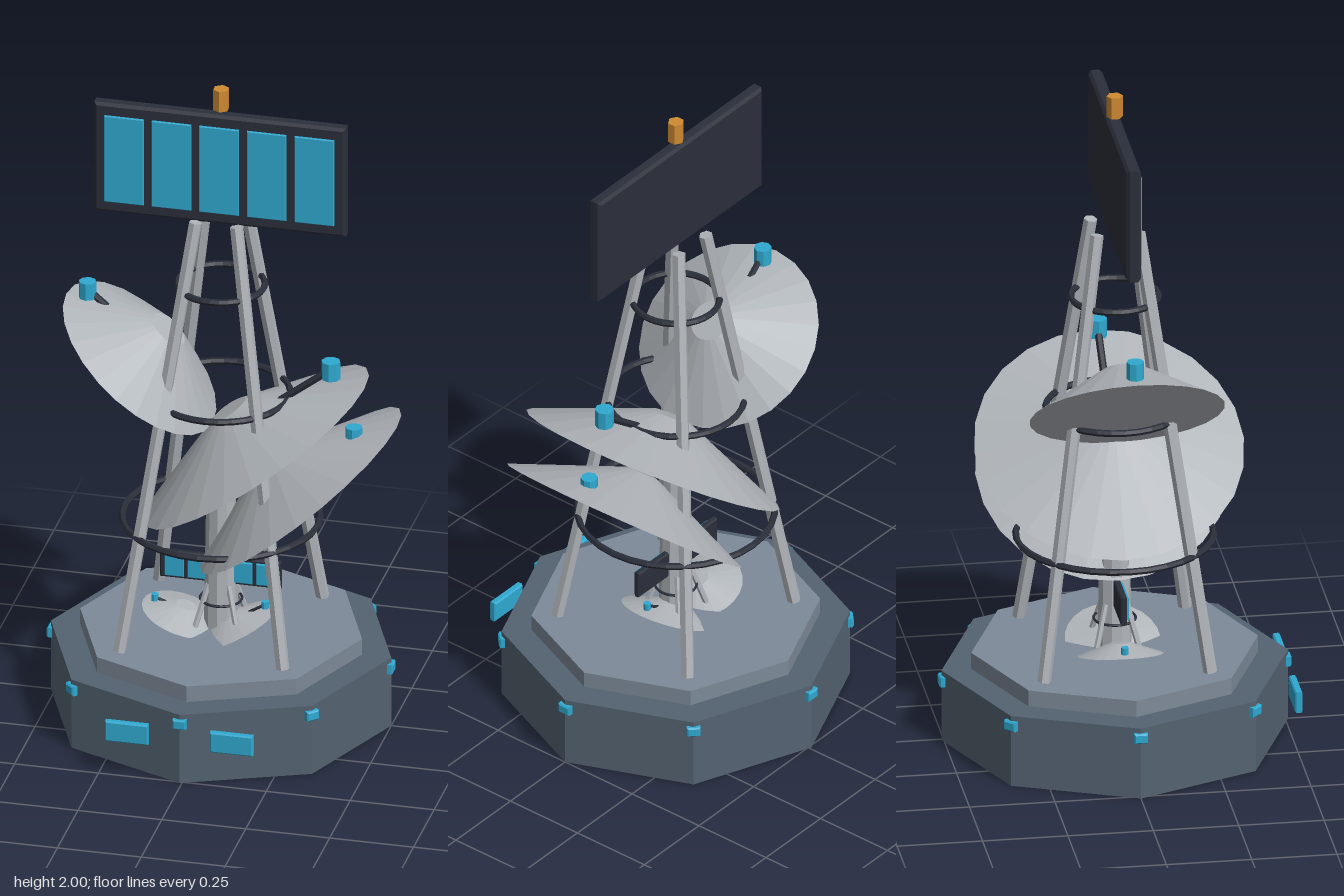
import * as THREE from 'three';

const AXIS = -0.007; // x of the tower axis

function material(name, color) {
  const m = new THREE.MeshStandardMaterial({ color, flatShading: true });
  m.name = name;
  return m;
}

export function createModel() {
  const root = new THREE.Group();
  root.name = 'relayTower';
  const slate = material('slate', 0x546372);
  const paleSlate = material('paleSlate', 0x7d8a99);
  const steel = material('steel', 0xb0b5ba);
  const dark = material('darkFrame', 0x2b2f3a);
  const cyan = material('cyan', 0x2fa9d0);
  const orange = material('orange', 0xcf8a32);

  const add = (name, geometry, mat, x = 0, y = 0, z = 0, parent = root) => {
    const mesh = new THREE.Mesh(geometry, mat);
    mesh.name = name;
    mesh.position.set(x, y, z);
    parent.add(mesh);
    return mesh;
  };

  // Straight rod between two points
  const rod = (name, a, b, radius, sides, mat) => {
    const from = new THREE.Vector3(...a), to = new THREE.Vector3(...b);
    const dir = to.clone().sub(from);
    const mesh = add(name, new THREE.CylinderGeometry(radius, radius, dir.length(), sides), mat);
    mesh.position.copy(from).add(to).multiplyScalar(0.5);
    mesh.quaternion.setFromUnitVectors(new THREE.Vector3(0, 1, 0), dir.normalize());
  };

  // Box with chamfered front and back edges
  const bevelBox = (w, h, d, b) => {
    const x = w / 2 - b, y = h / 2 - b;
    const shape = new THREE.Shape([[-x, -y], [x, -y], [x, y], [-x, y]].map(p => new THREE.Vector2(...p)));
    return new THREE.ExtrudeGeometry(shape, {
      depth: d - 2 * b, bevelEnabled: true, bevelThickness: b, bevelSize: b, bevelSegments: 1,
    }).translate(0, 0, b - d / 2);
  };

  // Closed shallow cone dish, tilted about z
  const dish = (name, x, y, radius, height, top, degrees) => {
    const g = new THREE.CylinderGeometry(top, radius, height, 24).translate(0, height / 2, 0);
    add(name, g, steel, x, y, 0).rotation.z = THREE.MathUtils.degToRad(degrees);
  };

  // Feed horn and its strut
  const feed = (name, x, y, r, from) => {
    add(name, new THREE.CylinderGeometry(r, r, r * 2, 8), cyan, x, y, 0);
    rod(name + 'Strut', [...from, 0], [x, y, 0], r * 0.4, 6, dark);
  };

  // Four leaning legs
  const legs = (name, low, yLow, high, yHigh, radius) => {
    for (const sx of [-1, 1]) for (const sz of [-1, 1]) {
      rod(name, [AXIS + sx * low, yLow, sz * low], [AXIS + sx * high, yHigh, sz * high], radius, 6, steel);
    }
  };

  const ring = (name, radius, tube, y) => {
    add(name, new THREE.TorusGeometry(radius, tube, 6, 32).rotateX(Math.PI / 2), dark, AXIS, y, 0);
  };

  // Framed panel with five cells on its front
  const cellPanel = (name, y, w, h, d) => {
    const group = new THREE.Group();
    group.name = name;
    group.position.set(AXIS, y, 0);
    root.add(group);
    add('panelFrame', bevelBox(w, h, d, d * 0.2), dark, 0, 0, 0, group);
    for (let i = -2; i <= 2; i++) {
      add('panelCell', bevelBox(w * 0.157, h * 0.79, 0.009, 0.002), cyan,
        i * w * 0.189, 0, d / 2 + 0.003, group);
    }
  };

  // Octagonal base and deck
  add('base', new THREE.CylinderGeometry(0.507, 0.507, 0.22, 8), slate, AXIS, 0.11, 0);
  add('deck', new THREE.CylinderGeometry(0.42, 0.42, 0.05, 8), paleSlate, AXIS, 0.245, 0);

  // Corner lights and front windows
  for (let i = 0; i < 8; i++) {
    const a = i * Math.PI / 4;
    add('cornerLight', bevelBox(0.04, 0.03, 0.024, 0.004), cyan,
      AXIS + Math.sin(a) * 0.504, 0.19, Math.cos(a) * 0.504).rotation.y = a;
  }
  for (const s of [-1, 1]) {
    add('baseWindow', bevelBox(0.128, 0.064, 0.022, 0.004), cyan, AXIS + s * 0.156, 0.146, 0.506);
  }

  // Tower
  add('mast', new THREE.CylinderGeometry(0.04, 0.05, 0.63, 10), steel, AXIS, 0.585, 0);
  legs('towerLeg', 0.243, 0.27, 0.061, 1.59, 0.02);
  ring('lowerRing', 0.287, 0.01, 0.62);
  ring('middleRing', 0.2, 0.01, 1.02);
  ring('upperRing', 0.127, 0.01, 1.37);

  // Large dishes and feeds
  dish('rightDish', -0.25, 1.1, 0.285, 0.135, 0.06, -40);
  feed('rightFeed', -0.405, 1.305, 0.026, [-0.22, 1.15]);
  dish('upperLeftDish', 0.097, 0.853, 0.394, 0.139, 0.057, 35);
  feed('upperLeftFeed', 0.32, 1.13, 0.028, [0.06, 0.93]);
  dish('lowerLeftDish', 0.23, 0.728, 0.372, 0.135, 0.045, 39.7);
  feed('lowerLeftFeed', 0.389, 0.928, 0.025, [0.22, 0.78]);

  // Top panel and beacon
  cellPanel('topPanel', 1.746, 0.75, 0.35, 0.042);
  add('beacon', new THREE.CylinderGeometry(0.024, 0.024, 0.066, 6), orange, AXIS, 1.967, 0);

  // Small antenna cluster around the mast foot
  cellPanel('smallPanel', 0.449, 0.36, 0.085, 0.02);
  legs('smallLeg', 0.068, 0.26, 0.03, 0.41, 0.009);
  ring('smallRing', 0.061, 0.004, 0.355);
  dish('smallRightDish', -0.12, 0.285, 0.125, 0.035, 0.03, -17);
  feed('smallRightFeed', -0.204, 0.333, 0.011, [-0.11, 0.3]);
  dish('smallLeftDish', 0.03, 0.268, 0.14, 0.04, 0.03, 26);
  feed('smallLeftFeed', 0.124, 0.347, 0.011, [0.03, 0.29]);

  return root;
}
